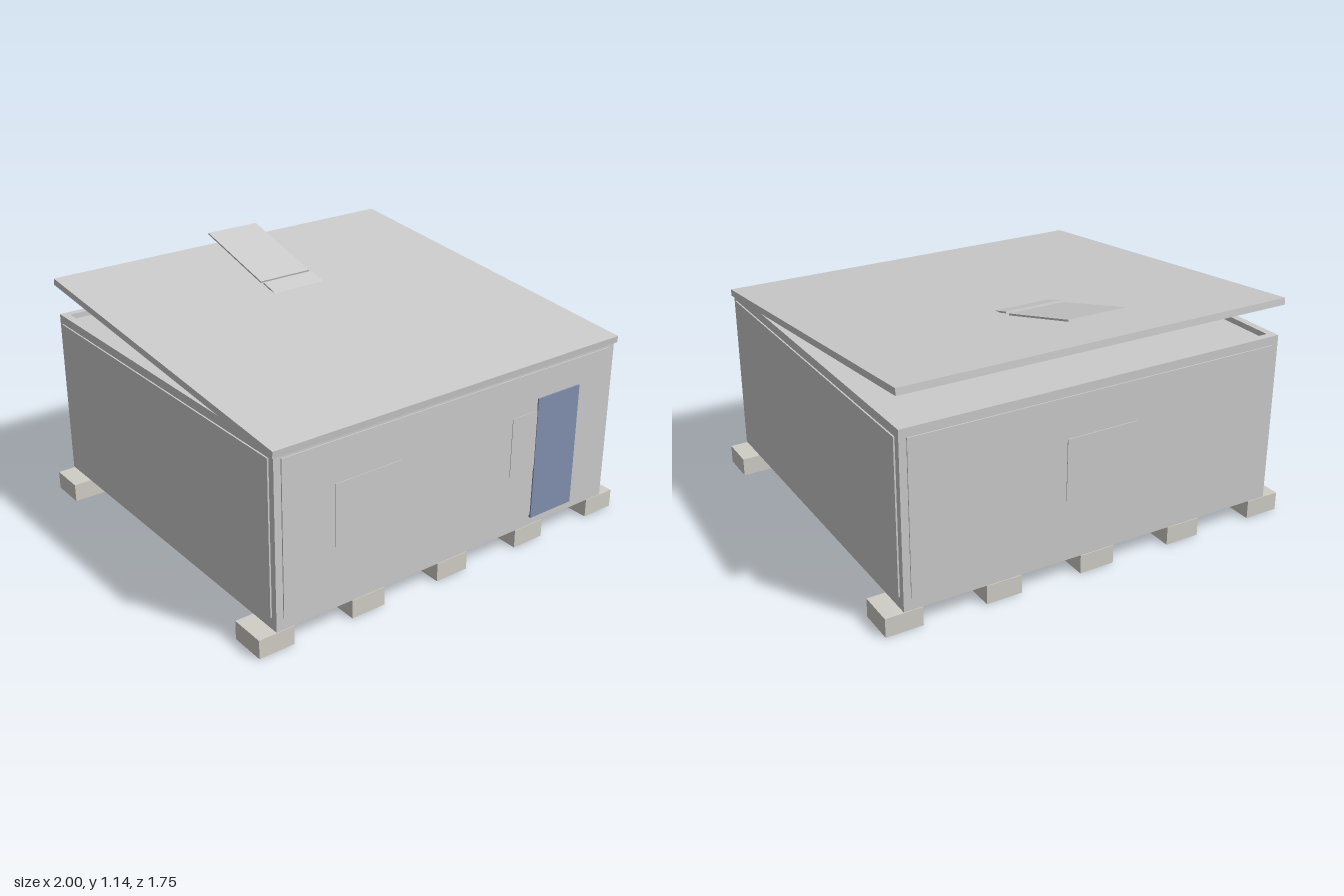
import * as THREE from 'three';

const grey = new THREE.MeshStandardMaterial({ color: 0xcccccc });
const concrete = new THREE.MeshStandardMaterial({ color: 0xd0cec6 });
const timber = new THREE.MeshStandardMaterial({ color: 0xcfc7b4 });
const blue = new THREE.MeshStandardMaterial({ color: 0x828fb0 });

export function createModel() {
  const model = new THREE.Group();

  // Adds a box of size w, h, d centred on x, y, z
  function box(name, w, h, d, x, y, z, material = grey) {
    const mesh = new THREE.Mesh(new THREE.BoxGeometry(w, h, d), material);
    mesh.name = name;
    mesh.position.set(x, y, z);
    model.add(mesh);
    return mesh;
  }

  // Thin sheet sloping between two (z, y) end points of its centre line
  function slope(name, w, t, z0, y0, z1, y1) {
    const length = Math.hypot(z1 - z0, y1 - y0);
    const mesh = box(name, w, t, length, 0, (y0 + y1) / 2, (z0 + z1) / 2);
    mesh.rotation.x = Math.atan2(y1 - y0, z0 - z1);
    return mesh;
  }

  // Foundation blocks, five along the front and five along the back
  for (const z of [-0.78, 0.78]) {
    for (let i = -2; i <= 2; i++) {
      box('foundationBlock', 0.168, 0.086, 0.168, i * 0.458, 0.043, z, concrete);
    }
  }

  // Floor sheets with narrow seams
  for (const i of [-1, 0, 1]) {
    box('floorSheet', 0.604, 0.025, 1.72, i * 0.609, 0.0995, 0, timber);
  }

  // Wall frames with a raised cladding sheet on each
  const wallY = (0.09 + 0.885) / 2, wallH = 0.795;
  const panelY = 0.495, panelH = 0.7;
  for (const s of [-1, 1]) {
    box('longWall', 1.836, wallH, 0.035, 0, wallY, s * 0.848);
    box('longWallPanel', 1.77, panelH, 0.02, 0, panelY, s * 0.861);
    box('sideWall', 0.035, wallH, 1.661, s * 0.9005, wallY, 0);
    box('sideWallPanel', 0.02, panelH, 1.67, s * 0.915, panelY, 0);
  }

  // Ceiling just below the rim of the walls
  box('ceiling', 1.766, 0.02, 1.661, 0, 0.85, 0);

  // Windows: two at the front, one at the back
  for (const s of [-1, 1]) box('frontWindow', 0.33, 0.28, 0.02, s * 0.473, 0.52, 0.864);
  box('backWindow', 0.34, 0.28, 0.02, 0, 0.52, -0.865);

  // Door
  box('door', 0.25, 0.585, 0.02, 0.577, 0.423, 0.867, blue);

  // Sloping roof and the two roof flaps in its middle
  slope('roof', 1.856, 0.031, 0.876, 0.875, -0.876, 1.043);
  slope('lowerRoofFlap', 0.275, 0.008, 0.115, 0.896, -0.335, 1.019);
  slope('upperRoofFlap', 0.275, 0.008, -0.358, 1.018, -0.805, 1.139);

  return model;
}
